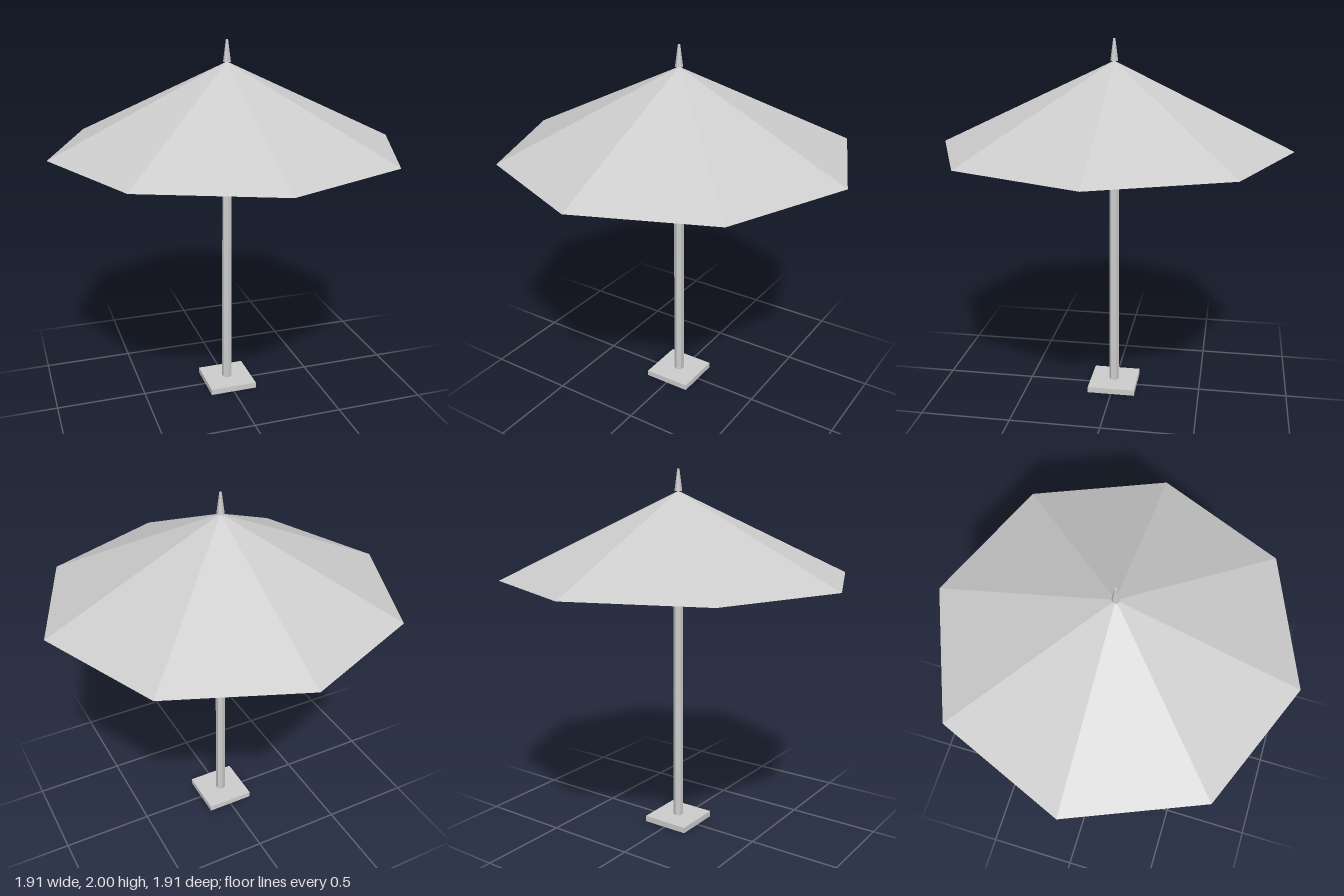
import * as THREE from 'three';

export function createModel() {
  const group = new THREE.Group();
  const paleGrey = new THREE.MeshStandardMaterial({
    color: 0xcccccc, flatShading: true, side: THREE.DoubleSide });
  paleGrey.name = 'paleGrey';

  function add(name, geometry, y) {
    const mesh = new THREE.Mesh(geometry, paleGrey);
    mesh.name = name;
    mesh.position.y = y;
    group.add(mesh);
    return mesh;
  }

  // open cylinder or cone standing between two heights
  function tube(name, rTop, rBottom, y0, y1, sides, open = true) {
    return add(name, new THREE.CylinderGeometry(rTop, rBottom, y1 - y0, sides, 1, open), (y0 + y1) / 2);
  }

  // square foot plate, hollow underneath
  const base = new THREE.BoxGeometry(0.27, 0.033, 0.27);
  const index = Array.from(base.index.array);
  index.splice(18, 6); // drop the bottom face
  base.setIndex(index);
  base.clearGroups();
  add('base', base, 0.0165);

  // slightly tapered six-sided pole
  tube('pole', 0.025, 0.029, 0.012, 1.83, 6);

  // eight-panel canopy, a thin open cone
  tube('canopy', 0, 0.955, 1.43, 1.886, 8);

  // spike on top
  tube('finial', 0.006, 0.021, 1.885, 2, 6, false);

  return group;
}
